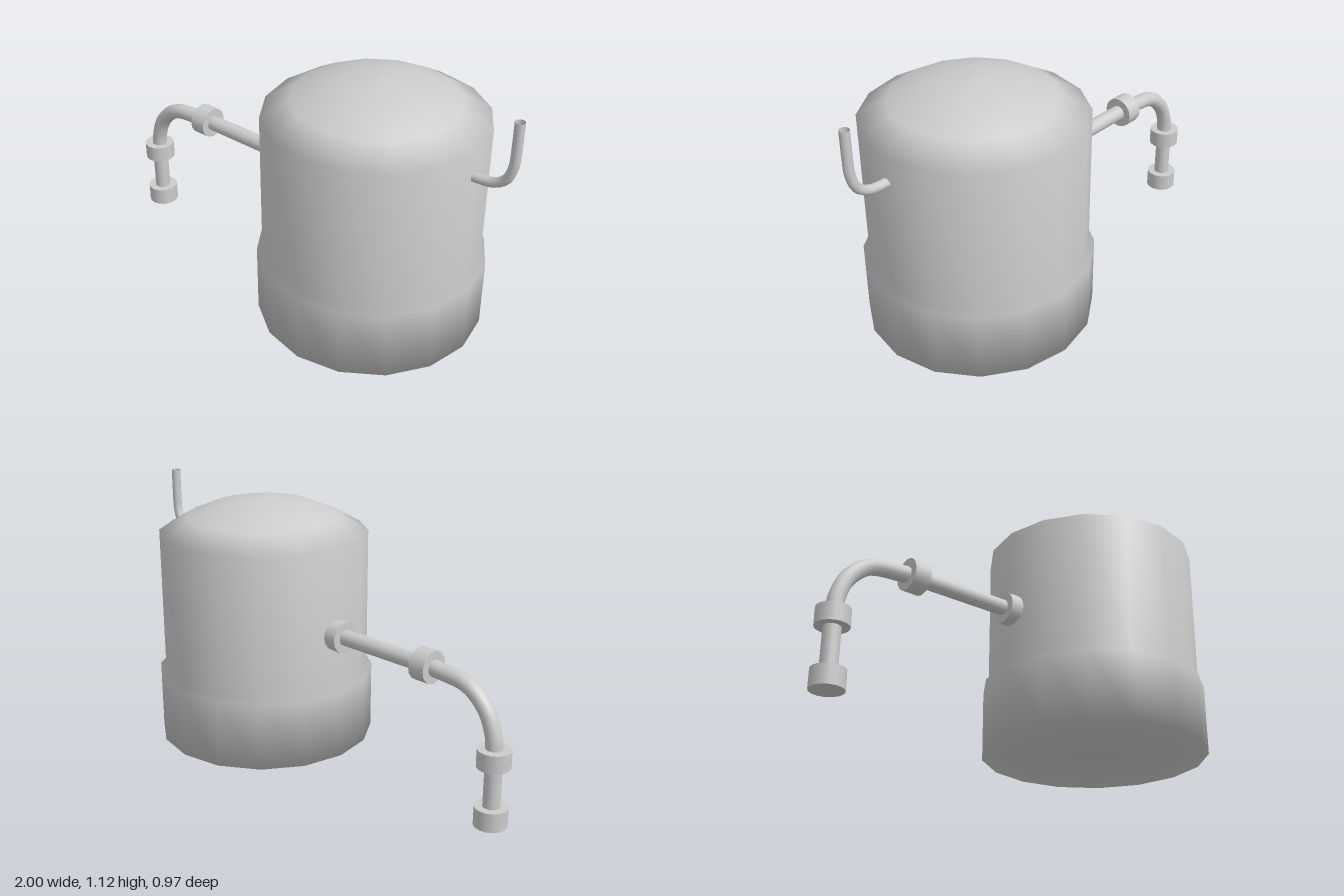
import * as THREE from 'three';

const grey = new THREE.MeshStandardMaterial({ color: 0xcccccc });
const greyOpen = new THREE.MeshStandardMaterial({ color: 0xcccccc, side: THREE.DoubleSide });

export function createModel() {
  const model = new THREE.Group();

  const add = (name, geometry, material = grey) => {
    const mesh = new THREE.Mesh(geometry, material);
    mesh.name = name;
    model.add(mesh);
    return mesh;
  };

  // Round section centred at (x, y), lying along x or standing along y
  const round = (name, x, y, radius, length, alongX) => {
    const mesh = add(name, new THREE.CylinderGeometry(radius, radius, length, 16));
    mesh.position.set(x, y, 0);
    if (alongX) mesh.rotation.z = Math.PI / 2;
  };

  // Bent pipe through points in the z = 0 plane
  const bentPipe = (name, points, radius) => {
    const path = new THREE.CatmullRomCurve3(points.map(([x, y]) => new THREE.Vector3(x, y, 0)));
    add(name, new THREE.TubeGeometry(path, 20, radius, 12), greyOpen);
  };

  // Sixteen-sided tank: closed floor, wide base, narrower body, domed lid
  const profile = [
    [0, 0.012], [0.483, 0.012], [0.483, 0.313], [0.46, 0.323], [0.46, 0.94],
    [0.34, 1.01], [0.22, 1.059], [0.11, 1.083], [0, 1.09],
  ].map(([r, y]) => new THREE.Vector2(r, y));
  add('tank', new THREE.LatheGeometry(profile, 16)).position.x = 0.36;

  // Side pipe with its elbow and downpipe
  round('sidePipe', -0.34, 0.565, 0.034, 0.52, true);
  bentPipe('elbow', [
    [-0.58, 0.565], [-0.66, 0.56], [-0.795, 0.54], [-0.885, 0.463], [-0.924, 0.37], [-0.932, 0.29],
  ], 0.034);
  round('downPipe', -0.932, 0.17, 0.035, 0.24, false);

  // Collars at the pipe joints
  round('tankCollar', -0.115, 0.565, 0.068, 0.06, true);
  round('middleCollar', -0.588, 0.565, 0.068, 0.074, true);
  round('elbowCollar', -0.932, 0.285, 0.068, 0.074, false);
  round('footCollar', -0.932, 0.04, 0.068, 0.08, false);

  // Small upturned vent on the opposite side
  bentPipe('vent', [
    [0.8, 0.83], [0.9, 0.84], [0.952, 0.875], [0.976, 0.94], [0.979, 1.0], [0.979, 1.123],
  ], 0.02);

  return model;
}
